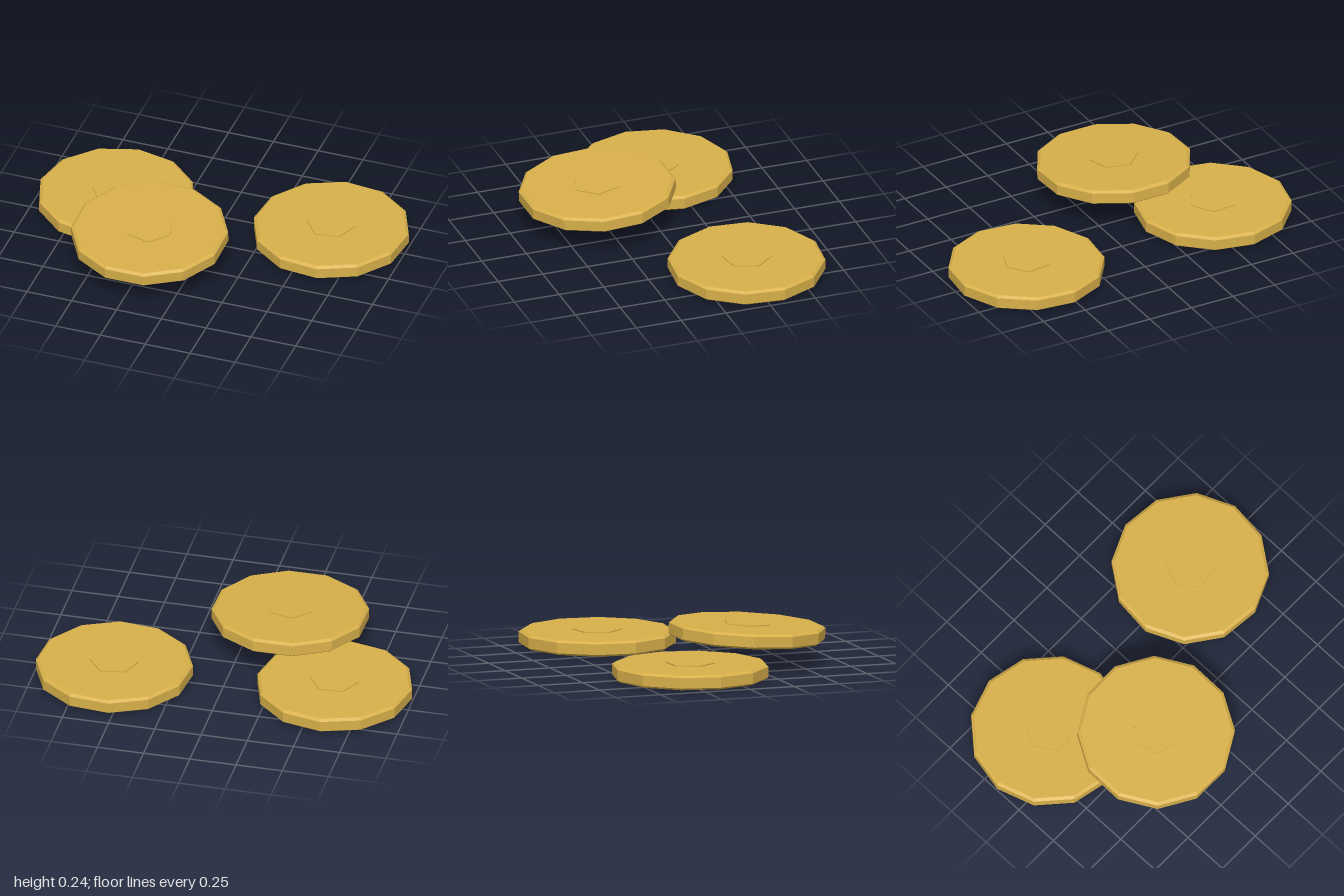
import * as THREE from 'three';

const gold = new THREE.MeshStandardMaterial({ color: 0xd8b04a, flatShading: true });

// Twelve-sided coin with bevelled rims and a low raised centre on both faces
function makeCoin(name) {
  const coin = new THREE.Group();
  coin.name = name;

  const profile = [
    [0, -0.039], [0.398, -0.039], [0.414, -0.028],
    [0.414, 0.028], [0.398, 0.039], [0, 0.039],
  ].map(([r, y]) => new THREE.Vector2(r, y));
  const disc = new THREE.Mesh(new THREE.LatheGeometry(profile, 12), gold);
  disc.name = 'coinDisc';
  coin.add(disc);

  // Hexagonal boss passing through the disc, just proud of each face
  const boss = new THREE.Mesh(
    new THREE.CylinderGeometry(0.13, 0.13, 0.09, 6, 1, false, Math.PI / 2), gold);
  boss.name = 'centreBoss';
  coin.add(boss);
  return coin;
}

export function createModel() {
  const model = new THREE.Group();
  model.name = 'coins';

  // name, position, tilt about x, spin about y
  const layout = [
    ['rightCoin', [-0.585, 0.045, -0.18], 0, 0.048],
    ['leftCoin', [0.585, 0.045, -0.267], 0, 0.157],
    ['topCoin', [-0.237, 0.177, 0.267], 0.052, -Math.PI / 12],
  ];
  for (const [name, position, tilt, spin] of layout) {
    const coin = makeCoin(name);
    coin.position.set(...position);
    coin.rotation.set(tilt, spin, 0);
    model.add(coin);
  }
  return model;
}
